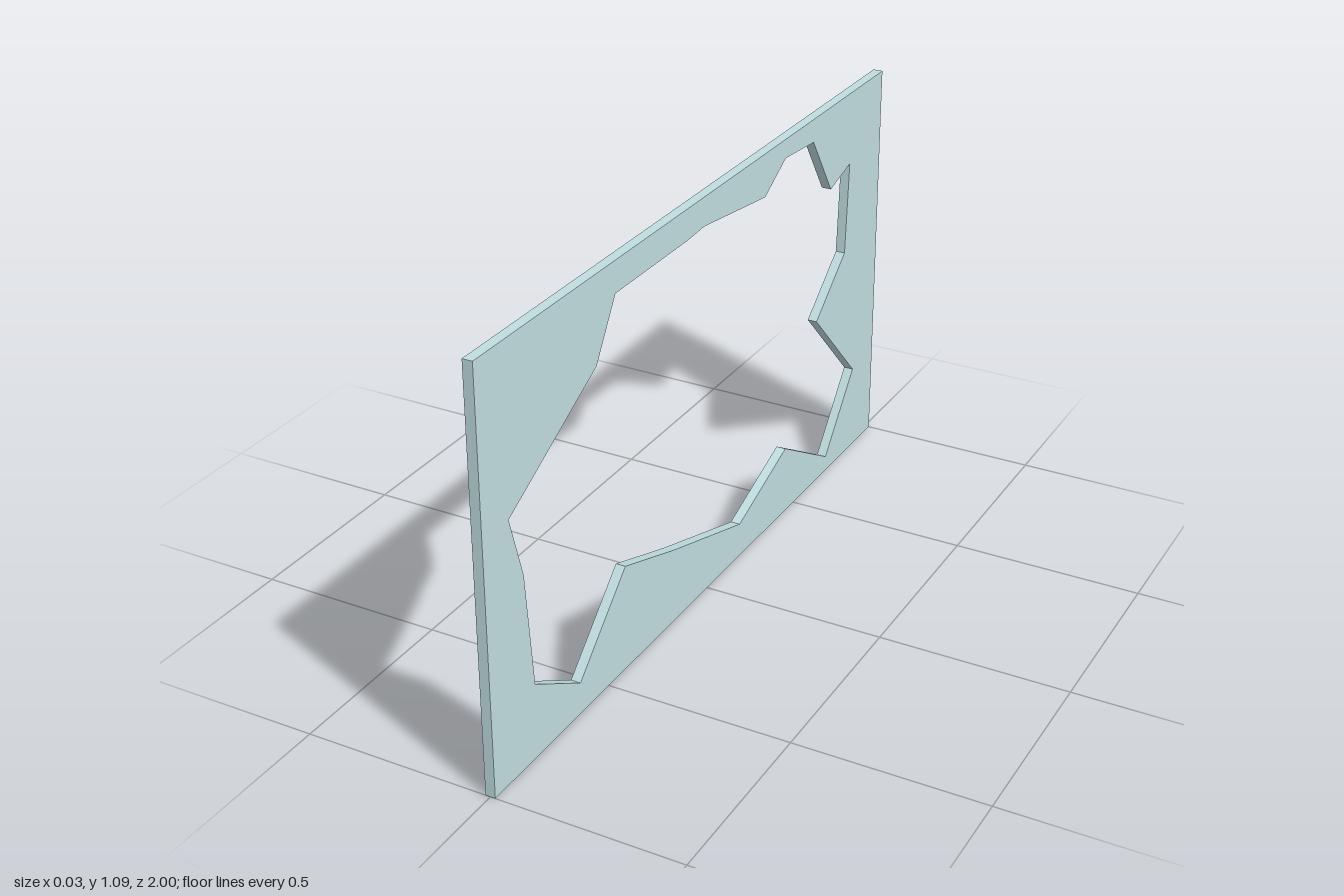
import * as THREE from 'three';

const HEIGHT = 1.09, THICKNESS = 0.026;

// Jagged hole outline as [z, y]
const HOLE = [
  [0.897, 0.667], [0.848, 0.503], [0.82, 0.198], [0.628, 0.085], [0.412, 0.288],
  [0.177, 0.207], [-0.18, 0.096], [-0.445, 0.194], [-0.704, 0.044], [-0.87, 0.246],
  [-0.622, 0.498], [-0.79, 0.635], [-0.806, 0.889], [-0.69, 0.857], [-0.577, 1.027],
  [-0.416, 1.039], [-0.303, 0.974], [0.016, 1.015], [0.1, 1.01], [0.433, 1.01], [0.521, 0.868],
];

export function createModel() {
  const group = new THREE.Group();
  group.name = 'brokenWindowPane';

  // Rectangular pane with the broken-out centre
  const pane = new THREE.Shape([[-1, 0], [1, 0], [1, HEIGHT], [-1, HEIGHT]].map(([z, y]) => new THREE.Vector2(z, y)));
  pane.holes.push(new THREE.Path(HOLE.map(([z, y]) => new THREE.Vector2(z, y))));

  // Extrude the thickness, then turn the sheet to lie in the z-y plane
  const geometry = new THREE.ExtrudeGeometry(pane, { depth: THICKNESS, bevelEnabled: false });
  geometry.translate(0, 0, -THICKNESS / 2);
  geometry.rotateY(-Math.PI / 2);

  const glass = new THREE.Mesh(geometry, new THREE.MeshStandardMaterial({ color: 0xc0dde0 }));
  glass.name = 'brokenGlass';
  group.add(glass);
  return group;
}
